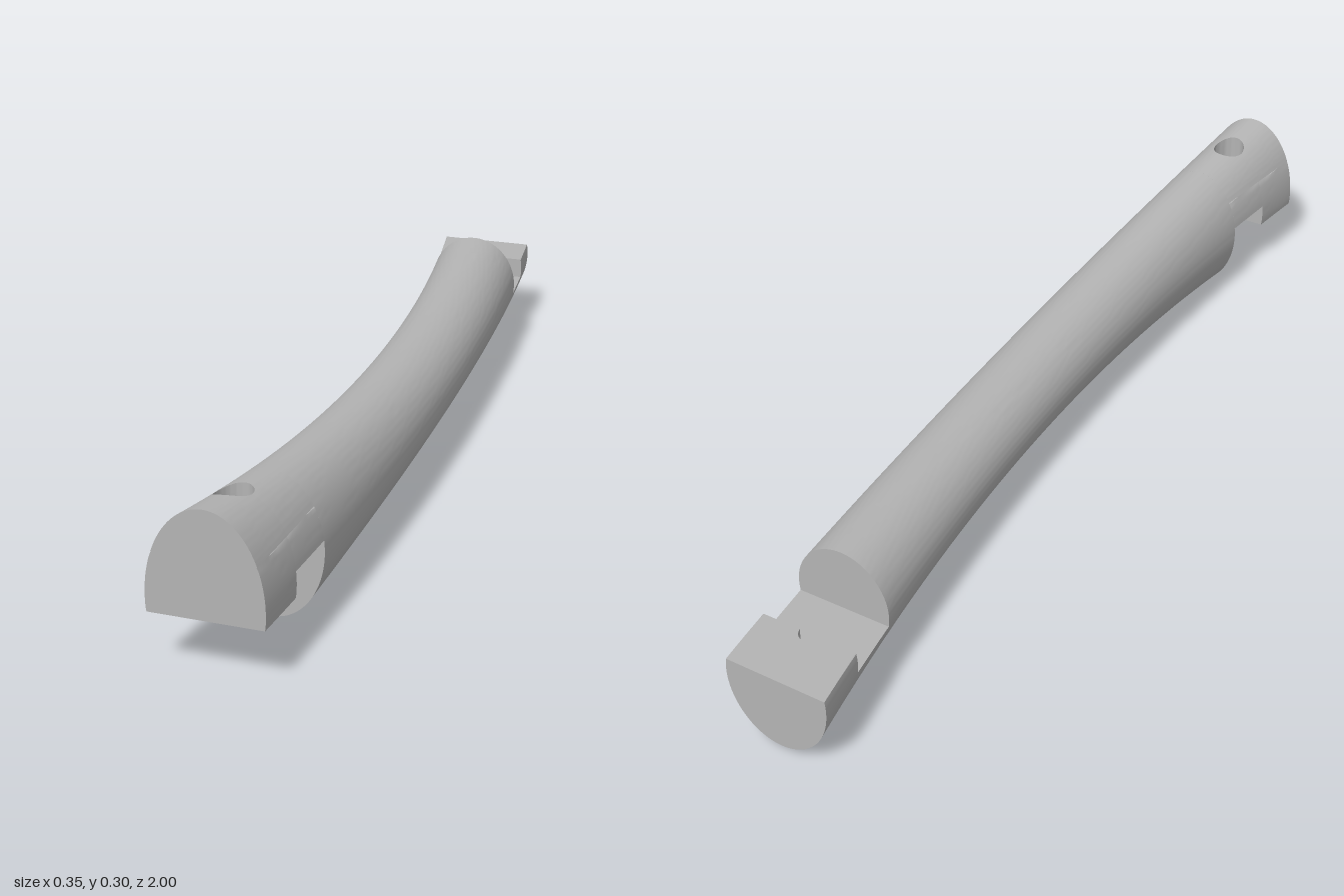
import * as THREE from 'three';
import { toCreasedNormals } from 'three/addons/utils/BufferGeometryUtils.js';

// Swept elliptical bar: centre line and half sizes along z
const CY = 0.14;
const centreX = z => 0.06 + 0.0718 * z - 0.0617 * z * z;
const halfW = z => 0.089 + 0.0155 * z * z;
const halfH = z => 0.088 + 0.0535 * (z + 0.2) ** 2;

// Column positions across the width (-1..1), with extra ones around the hole
function columns(zS, r, off) {
  const cols = [];
  for (let i = 0; i <= 48; i++) cols.push(Math.sin((i / 48 - 0.5) * Math.PI));
  if (r > 0) {
    for (let i = 0; i <= 14; i++) {
      cols.push((off + r * Math.sin((i / 14 - 0.5) * Math.PI)) / halfW(zS));
    }
  }
  return cols.sort((a, b) => a - b);
}

// Slice of the bar from zA to zS, limited to yLo..yHi,
// with a half round bolt hole of radius r cut into its zS end
function barSlice({ zA, zS, yLo = -1, yHi = 1, r = 0, off = 0, steps = 6 }) {
  const cols = columns(zS, r, off);
  const pos = [], idx = [];
  const ring = 2 * (steps + 1);
  for (const s of cols) {
    const dx = s * halfW(zS) - off;
    const bite = Math.abs(dx) < r ? Math.sqrt(r * r - dx * dx) : 0;
    const end = zS + Math.sign(zA - zS) * bite;
    const z0 = Math.min(zA, end), z1 = Math.max(zA, end);
    const upper = [], lower = [];
    for (let j = 0; j <= steps; j++) {
      const z = z0 + (z1 - z0) * j / steps;
      const h = halfH(z);
      const cut = Math.max(0, (yLo - CY) / h, (CY - yHi) / h);
      const sx = s * Math.sqrt(1 - cut * cut);
      const q = h * Math.sqrt(Math.max(0, 1 - sx * sx));
      const x = centreX(z) + halfW(z) * sx;
      upper.push([x, Math.min(CY + q, yHi), z]);
      lower.unshift([x, Math.max(CY - q, yLo), z]);
    }
    for (const p of [...upper, ...lower]) pos.push(...p);
  }
  for (let i = 0; i < cols.length - 1; i++) {
    for (let j = 0; j < ring; j++) {
      const k = (j + 1) % ring;
      const a = i * ring + j, b = i * ring + k;
      idx.push(a, b, b + ring, a, b + ring, a + ring);
    }
  }
  const geo = new THREE.BufferGeometry();
  geo.setAttribute('position', new THREE.Float32BufferAttribute(pos, 3));
  geo.setIndex(idx);
  return toCreasedNormals(geo, 0.6);
}

export function createModel() {
  const grey = new THREE.MeshStandardMaterial({ color: 0xb4b4b4 });
  grey.name = 'plain grey';
  const model = new THREE.Group();
  model.name = 'curvedBar';
  const add = (name, spec) => {
    const mesh = new THREE.Mesh(barSlice(spec), grey);
    mesh.name = name;
    model.add(mesh);
  };

  // Curved, waisted shaft
  add('shaft', { zA: -0.75, zS: 0.75, steps: 48 });

  // Rear hooked joint: lower half remains, plain bolt hole on the step
  const rear = { zS: -0.875, r: 0.022, off: -0.002 };
  add('rearJointGroove', { ...rear, zA: -0.75, yHi: 0.12 });
  add('rearJointHook', { ...rear, zA: -1, yHi: 0.163 });

  // Front hooked joint: upper half remains, bolt hole widened near the top
  const SEAT = 0.22;
  for (const [name, zA, floor] of [['frontJointGroove', 0.75, 0.16], ['frontJointHook', 1, 0.112]]) {
    const front = { zA, zS: 0.875, off: -0.007 };
    add(name, { ...front, yLo: floor, yHi: SEAT, r: 0.022 });
    add(name + 'Top', { ...front, yLo: SEAT, r: 0.038 });
  }
  return model;
}
